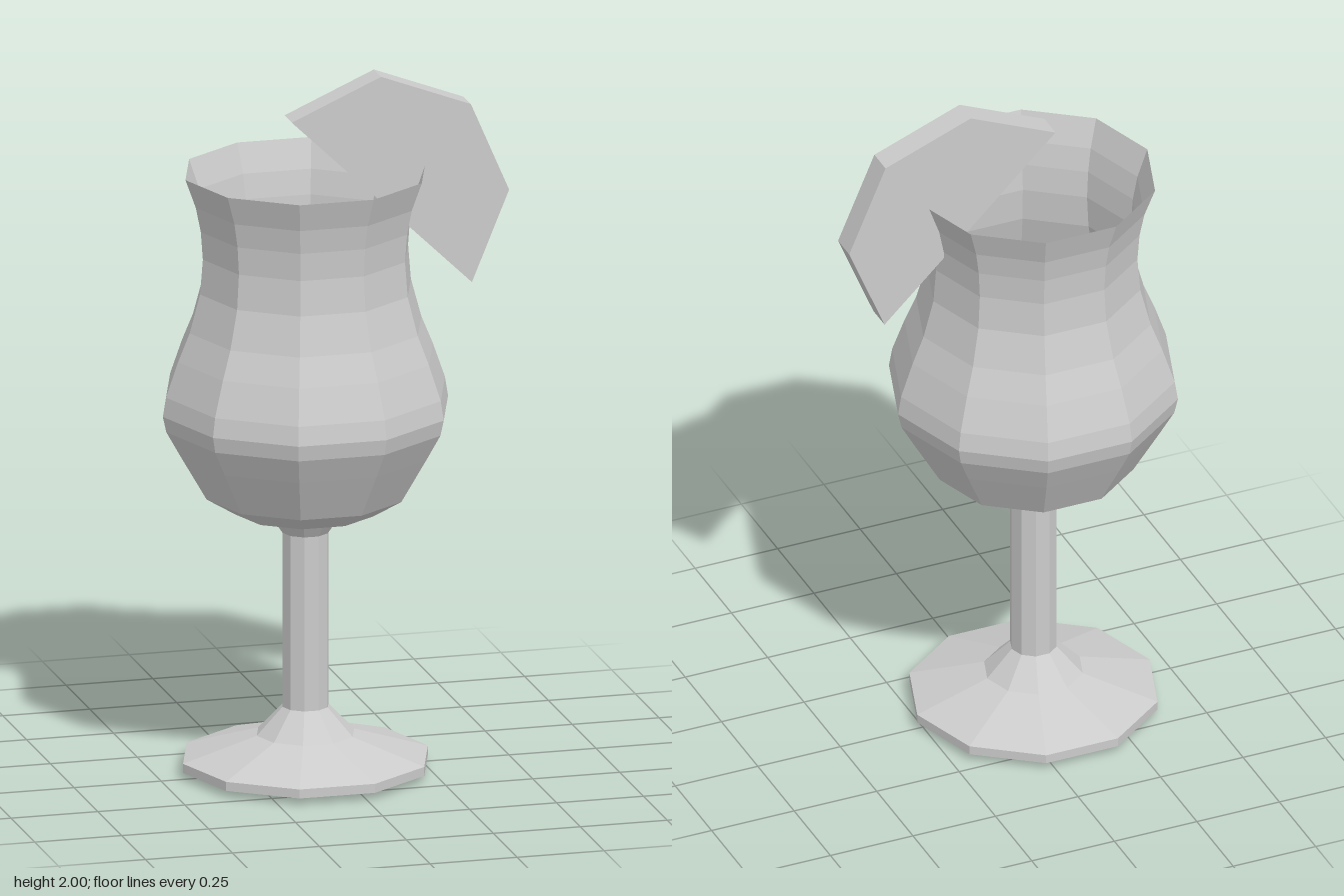
import * as THREE from 'three';

const grey = new THREE.MeshStandardMaterial({ color: 0xcccccc, flatShading: true, side: THREE.DoubleSide });
const SIDES = 10;

// Faceted turned part with a corner pointing along +x
function turned(name, profile) {
  const points = profile.map(([r, y]) => new THREE.Vector2(r, y));
  const mesh = new THREE.Mesh(new THREE.LatheGeometry(points, SIDES, Math.PI / 2), grey);
  mesh.name = name;
  return mesh;
}

export function createModel() {
  const model = new THREE.Group();
  model.name = 'cocktailGlass';

  const glass = new THREE.Group();
  glass.name = 'glass';
  glass.position.x = -0.085;
  model.add(glass);

  // Foot with a thin rim and a slightly domed underside
  glass.add(turned('foot', [[0, 0.005], [0.352, 0.024], [0.352, 0.05], [0.14, 0.115], [0.066, 0.193]]));

  // Hollow stem flaring into the bowl
  glass.add(turned('stem', [[0.066, 0.193], [0.066, 0.695], [0.092, 0.733]]));

  // Thin-walled open bowl: round belly, narrow waist, flared rim
  glass.add(turned('bowl', [
    [0.092, 0.733], [0.2, 0.757], [0.284, 0.807], [0.358, 0.935], [0.4, 1.01], [0.41, 1.055],
    [0.401, 1.11], [0.366, 1.21], [0.333, 1.29], [0.303, 1.4], [0.295, 1.5], [0.301, 1.58],
    [0.315, 1.65], [0.345, 1.733],
  ]));

  // Half slice of fruit pushed over the rim
  const outline = [[-0.135, 1.887], [0.383, 1.388], [0.49, 1.647], [0.38, 1.902], [0.122, 2]];
  const shape = new THREE.Shape(outline.map(([x, y]) => new THREE.Vector2(x, y)));
  const depth = 0.077;
  const sliceGeometry = new THREE.ExtrudeGeometry(shape, { depth, bevelEnabled: false });
  sliceGeometry.translate(0, 0, -depth / 2);
  const slice = new THREE.Mesh(sliceGeometry, grey);
  slice.name = 'fruitSlice';
  model.add(slice);

  return model;
}
